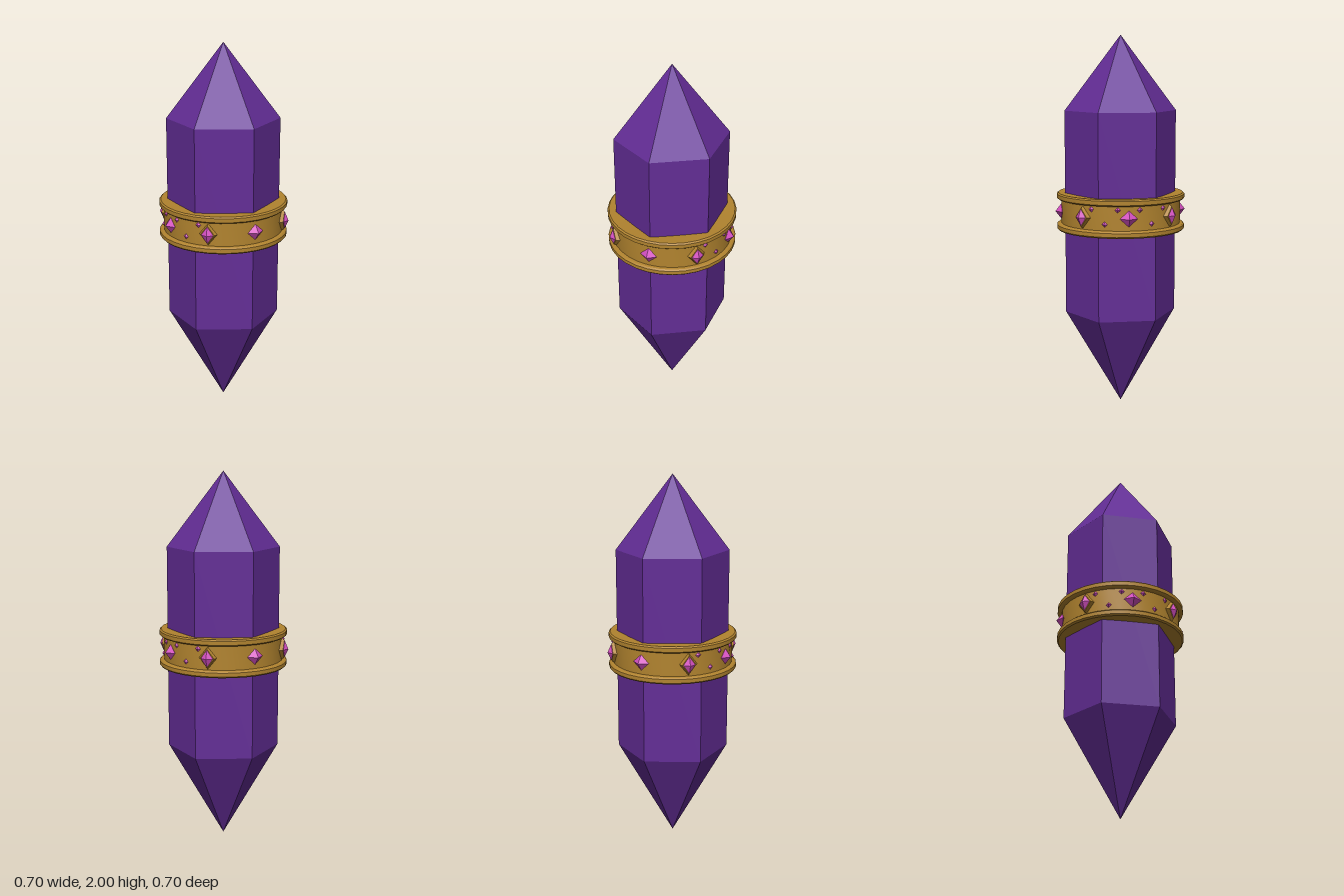
import * as THREE from 'three';
import { toCreasedNormals } from 'three/addons/utils/BufferGeometryUtils.js';

const purple = new THREE.MeshStandardMaterial({ color: 0x632d96 });
purple.name = 'crystal purple';
const gold = new THREE.MeshStandardMaterial({ color: 0xb2842f });
gold.name = 'aged gold';
const pink = new THREE.MeshStandardMaterial({ color: 0xd44fc0 });
pink.name = 'gem pink';

const RING_Y = 1.07;
const BAND_R = 0.32;

// Revolve a [radius, height] profile, keeping edges sharper than the crease
function lathe(profile, sides, crease) {
  const points = profile.map(([r, y]) => new THREE.Vector2(r, y));
  return toCreasedNormals(new THREE.LatheGeometry(points, sides), crease);
}

function addMesh(parent, name, geometry, material) {
  const mesh = new THREE.Mesh(geometry, material);
  mesh.name = name;
  parent.add(mesh);
  return mesh;
}

// Faceted stone: an octahedron stretched to half-width, half-height, half-depth
function gemGeometry(w, h, d) {
  return new THREE.OctahedronGeometry(1).scale(w, h, d);
}

// Diamond-shaped mount with bevelled sides
function mountGeometry() {
  const g = new THREE.CylinderGeometry(0.72, 1, 1, 4).rotateX(Math.PI / 2);
  g.scale(0.052, 0.068, 0.03);
  return toCreasedNormals(g, 0.3);
}

// Place a mesh on the band, facing outwards
function placeOnBand(mesh, angle, radius, y) {
  mesh.position.set(Math.sin(angle) * radius, y, Math.cos(angle) * radius);
  mesh.rotation.y = angle;
}

export function createModel() {
  const model = new THREE.Group();
  model.name = 'bandedCrystal';

  // Six-sided crystal, pointed at both ends
  addMesh(model, 'crystal',
    lathe([[0, 0], [0.299, 0.515], [0.299, 1.605], [0, 2]], 6, 0.1), purple);

  // Gold band with a raised rim at the top and bottom
  const ring = new THREE.Group();
  ring.name = 'ring';
  model.add(ring);
  addMesh(ring, 'band', lathe([
    [0.255, 0.975], [0.335, 0.97], [0.343, 0.978], [0.343, 0.998], [0.335, 1.005],
    [BAND_R, 1.007], [BAND_R, 1.133], [0.335, 1.135], [0.343, 1.142],
    [0.343, 1.163], [0.335, 1.17], [0.255, 1.165], [0.255, 0.975],
  ], 32, 0.5), gold);

  // Eight stones, every second one in a gold mount
  const stone = gemGeometry(0.046, 0.042, 0.032);
  const mountedStone = gemGeometry(0.032, 0.045, 0.02);
  const mount = mountGeometry();
  for (let i = 0; i < 8; i++) {
    const angle = i * Math.PI / 4;
    const mounted = i % 2 === 1;
    if (mounted) placeOnBand(addMesh(ring, 'gemMount', mount, gold), angle, BAND_R, RING_Y);
    const gem = addMesh(ring, 'gem', mounted ? mountedStone : stone, pink);
    placeOnBand(gem, angle, mounted ? 0.337 : BAND_R, RING_Y);
  }

  // Tiny stones scattered on both flanks
  const chip = gemGeometry(0.015, 0.015, 0.01);
  for (const side of [-1, 1]) {
    for (const dir of [-1, 1]) {
      for (const [offset, y] of [[0.39, 1.04], [0.18, 1.115], [0.62, 1.115]]) {
        const angle = side * Math.PI / 2 + dir * offset;
        placeOnBand(addMesh(ring, 'gemChip', chip, pink), angle, BAND_R, y);
      }
    }
  }
  return model;
}
